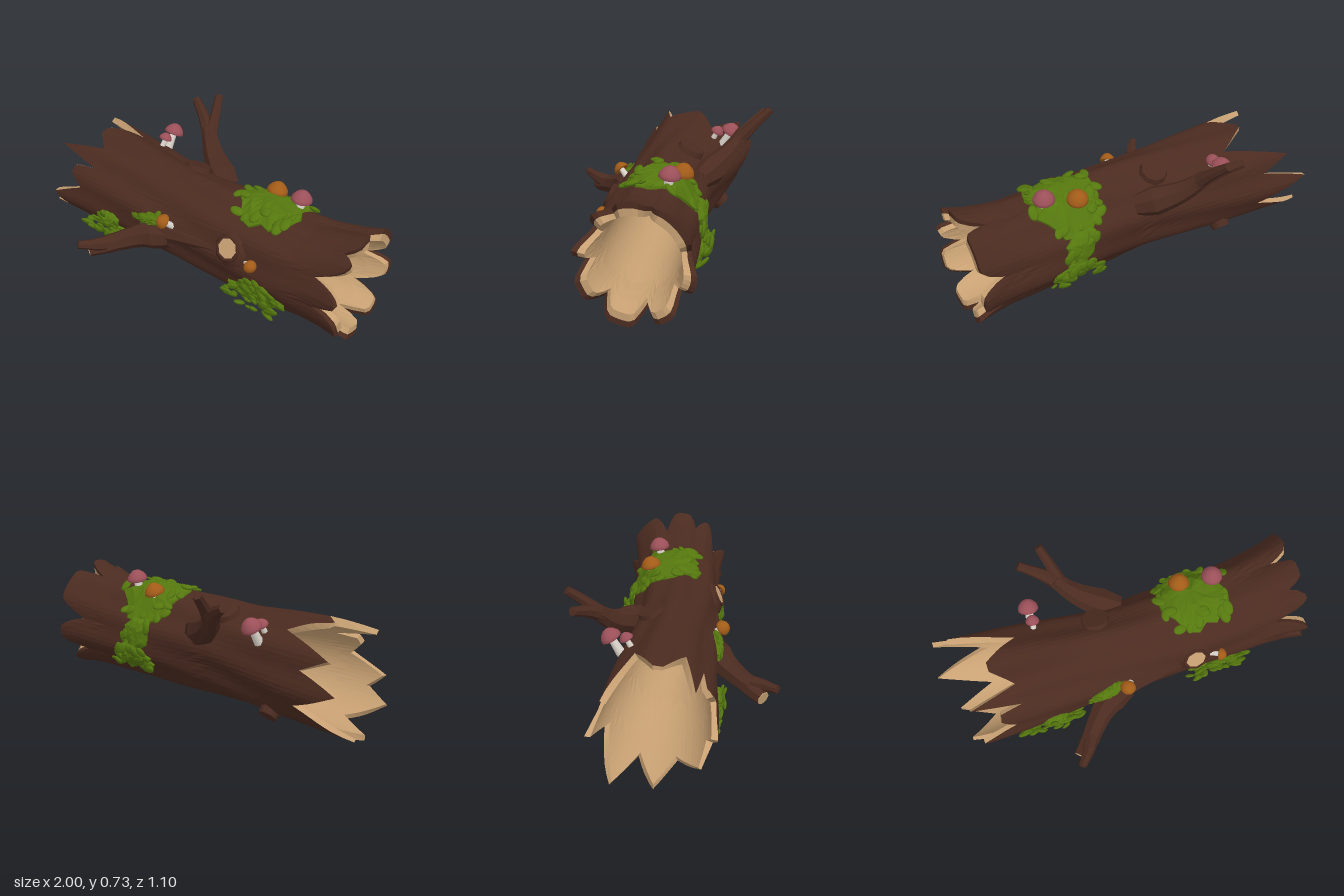
import * as THREE from 'three';

const mat = (name, color) => Object.assign(new THREE.MeshStandardMaterial({ color }), { name });
const V = (x, y, z) => new THREE.Vector3(x, y, z);
const RAD = Math.PI / 180;

// Linear lookup in a short table of [key, value]
function look(table, x) {
  if (x <= table[0][0]) return table[0][1];
  for (let i = 1; i < table.length; i++) {
    const [x0, a] = table[i - 1], [x1, b] = table[i];
    if (x <= x1) return a + ((b - a) * (x - x0)) / (x1 - x0);
  }
  return table[table.length - 1][1];
}

// Log profile along x; angle 0 is the front, 90 the top, 180 the back
const outerR = [[-1, 0.285], [-0.6, 0.27], [-0.2, 0.258], [0.5, 0.26], [0.75, 0.265], [0.9, 0.285], [1, 0.31]];
const innerR = [[-1, 0.265], [-0.6, 0.235], [-0.3, 0.207], [0.5, 0.197], [0.8, 0.207], [0.92, 0.222], [1, 0.243]];
const centreY = [[-1, 0.31], [0, 0.298], [0.7, 0.298], [1, 0.325]];
const centreZ = [[-1, -0.06], [0, -0.012], [0.6, -0.035], [1, -0.05]];
const widthZ = [[-1, 1.08], [-0.6, 1.04], [0, 0.89], [0.5, 0.94], [1, 0.95]];
// Splinter tips and valleys of the broken left end: [angle, x]
const splinters = [[-10, -0.85], [10, -0.66], [25, -0.73], [35, -0.72], [40, -0.6], [50, -0.86], [65, -0.6], [85, -0.71], [95, -0.71],
  [120, -0.53], [145, -0.87], [160, -0.71], [175, -0.96], [200, -0.68], [230, -1], [250, -0.72], [270, -0.93],
  [290, -0.74], [320, -0.91], [335, -0.77], [350, -0.85]];
// Splits of the flared right end: [angle, depth, half width]
const splits = [[30, 0.17, 20], [-5, 0.14, 13], [65, 0.07, 11], [105, 0.13, 13], [170, 0.15, 17], [215, 0.14, 17], [260, 0.15, 13], [310, 0.12, 14]];

const dAng = (a, b) => Math.abs(((a - b + 540) % 360 + 360) % 360 - 180);
const wrap = (deg) => { const d = ((deg % 360) + 360) % 360; return d > 350 ? d - 360 : d; };
const at = (x, deg, r) => {
  const t = deg * RAD;
  return V(x, look(centreY, x) + r * Math.sin(t), look(centreZ, x) + r * look(widthZ, x) * Math.cos(t));
};
function bark(x, deg, off = 0) {
  const t = deg * RAD, end = THREE.MathUtils.clamp((x - 0.6) / 0.4, 0, 1);
  let r = look(outerR, x) + (1 - end) * (0.007 * Math.sin(9 * t + 2.2 * Math.sin(2.3 * x)) + 0.005 * Math.sin(5 * t - 4 * x));
  for (const [a, , w] of splits) r -= 0.024 * end * Math.max(0, 1 - dAng(deg, a) / w);
  return at(x, deg, r + off);
}
const barkNormal = (x, deg) => bark(x, deg).sub(at(x, deg, 0)).setX(0).normalize();

// Flat-shaded surface through closed rows of points
function skin(rows) {
  const pos = [], n = rows[0].length;
  for (let k = 0; k + 1 < rows.length; k++) for (let i = 0; i < n; i++) {
    const j = (i + 1) % n, a = rows[k][i], b = rows[k + 1][i], c = rows[k + 1][j], d = rows[k][j];
    for (const p of [a, b, c, a, c, d]) pos.push(p.x, p.y, p.z);
  }
  const g = new THREE.BufferGeometry();
  g.setAttribute('position', new THREE.Float32BufferAttribute(pos, 3));
  g.computeVertexNormals();
  return g;
}

export function createModel() {
  let seed = 7;
  const rnd = () => (seed = (seed * 16807) % 2147483647) / 2147483647;
  const root = new THREE.Group();
  root.name = 'hollowLog';
  const brown = mat('bark brown', 0x4b2b20), tan = mat('bare wood', 0xc8a173), green = mat('moss green', 0x55780e);
  const pink = mat('pink cap', 0x9c5059), orange = mat('orange cap', 0xa35c18), white = mat('pale stem', 0xd9d2ca);
  const add = (name, geo, m, parent = root) => {
    const o = new THREE.Mesh(geo, m);
    o.name = name;
    parent.add(o);
    return o;
  };

  // Hollow trunk: bark outside, bare wood inside, rims at both ends
  const N = 72, K = 18, outer = [], inner = [];
  const angles = Array.from({ length: N }, (_, i) => (i * 360) / N);
  for (let k = 0; k <= K; k++) {
    const o = [], n = [];
    for (const a of angles) {
      const xl = look(splinters, wrap(a));
      let xr = 0.995;
      for (const [s, d, w] of splits) xr -= d * Math.max(0, 1 - dAng(a, s) / w) ** 1.6;
      const x = xl + ((xr - xl) * k) / K;
      o.push(bark(x, a));
      n.push(at(x, a, look(innerR, x)));
    }
    outer.push(o);
    inner.push(n);
  }
  const barkEdge = outer[K].map((p, i) => p.clone().lerp(inner[K][i], 0.45));
  add('bark', skin(outer), brown);
  add('innerWood', skin([...inner].reverse()), tan);
  add('splinteredRim', skin([inner[0], outer[0]]), tan);
  add('flaredBarkRim', skin([outer[K], barkEdge]), brown);
  add('flaredWoodRim', skin([barkEdge, inner[K]]), tan);

  // Tapering limbs with blunt ends
  function limb(name, pts, radii, cut) {
    const S = 12, R = 7, curve = new THREE.CatmullRomCurve3(pts.map((p) => V(...p)));
    const g = new THREE.TubeGeometry(curve, S, 1, R), p = g.attributes.position, v = V(0, 0, 0);
    const table = radii.map((r, i) => [i / (radii.length - 1), r]);
    for (let k = 0; k <= S; k++) for (let i = 0; i <= R; i++) {
      const c = curve.getPointAt(k / S), id = k * (R + 1) + i;
      v.fromBufferAttribute(p, id).sub(c).multiplyScalar(k === S ? 0 : look(table, (k + 1) / S));
      if (k === S - 1) c.copy(curve.getPointAt(0.995));
      v.add(c);
      p.setXYZ(id, v.x, v.y, v.z);
    }
    const flat = g.toNonIndexed();
    flat.computeVertexNormals();
    add(name, flat, brown);
    if (cut) {
      const d = add(name + 'Cut', new THREE.CylinderGeometry(cut, cut, 0.008, R), tan);
      d.position.copy(curve.getPointAt(1));
      d.quaternion.setFromUnitVectors(V(0, 1, 0), curve.getTangentAt(1));
    }
  }
  limb('backBranch', [[0.06, 0.42, -0.2], [-0.06, 0.455, -0.265], [-0.16, 0.51, -0.33], [-0.24, 0.6, -0.395]], [0.05, 0.08, 0.06, 0.042]);
  limb('backBranchLongTwig', [[-0.2, 0.56, -0.365], [-0.29, 0.625, -0.425], [-0.4, 0.68, -0.49]], [0.045, 0.035, 0.024]);
  limb('backBranchShortTwig', [[-0.21, 0.57, -0.375], [-0.235, 0.65, -0.45], [-0.27, 0.73, -0.535]], [0.042, 0.03, 0.023]);
  limb('frontBranchRoot', [[0.26, 0.35, 0.19], [0.1, 0.335, 0.195], [-0.06, 0.31, 0.21], [-0.2, 0.26, 0.27]], [0.015, 0.04, 0.055, 0.05]);
  limb('frontBranch', [[-0.04, 0.29, 0.2], [-0.16, 0.275, 0.25], [-0.27, 0.24, 0.35], [-0.32, 0.225, 0.41]], [0.06, 0.08, 0.06, 0.05]);
  limb('frontBranchLongTwig', [[-0.29, 0.235, 0.37], [-0.34, 0.25, 0.46], [-0.4, 0.265, 0.535]], [0.048, 0.036, 0.022]);
  limb('frontBranchStub', [[-0.27, 0.24, 0.35], [-0.33, 0.215, 0.41], [-0.385, 0.2, 0.465]], [0.05, 0.047, 0.042], 0.037);

  // Knots that grow straight out of the bark
  function knot(name, x, deg, r, open) {
    const g = new THREE.Group();
    g.name = name;
    g.position.copy(bark(x, deg));
    g.quaternion.setFromUnitVectors(V(0, 1, 0), barkNormal(x, deg));
    root.add(g);
    if (open) {
      add('knotCollar', new THREE.CylinderGeometry(r * 1.15, r * 1.9, 0.04, 8), brown, g).position.y = 0.005;
      add('knotRing', new THREE.TorusGeometry(r * 1.08, 0.01, 5, 8).rotateX(Math.PI / 2), brown, g).position.y = 0.025;
      add('knotWood', new THREE.CylinderGeometry(r * 1.05, r * 1.05, 0.008, 8), tan, g).position.y = 0.026;
    } else add('knotStump', new THREE.CylinderGeometry(r * 0.9, r * 1.1, 0.06, 9), brown, g);
  }
  knot('frontKnot', 0.35, 23, 0.058, true);
  knot('topKnot', -0.1, 117, 0.078, false);
  knot('lowerBackKnot', -0.48, 225, 0.055, false);

  // Moss: low cushions hugging the bark, topped with leafy tufts
  function moss(name, x0, a0, rx, ra, shear, leaves, size, lift) {
    const g = new THREE.Group(), M = 22, rows = [];
    g.name = name;
    root.add(g);
    const rim = Array.from({ length: M }, () => 0.78 + 0.26 * rnd());
    const place = (rho, t) => {
      const dx = rho * rx * Math.cos(t);
      return [x0 + dx, a0 + rho * ra * Math.sin(t) + shear * dx];
    };
    for (const [rho, h] of [[0, 0.032], [0.35, 0.032], [0.7, 0.026], [0.97, 0.012], [1, -0.012]]) {
      rows.push(rim.map((w, i) => {
        const bump = rho > 0 && rho < 0.9 ? 0.008 * (rnd() - 0.5) : 0;
        return bark(...place(rho * w, (i / M) * Math.PI * 2), h + bump);
      }));
    }
    add('mossCushion', skin(rows), green, g);
    for (let i = 0; i < leaves; i++) {
      const [x, a] = place(0.35 + 0.65 * Math.sqrt(rnd()), rnd() * Math.PI * 2);
      const leaf = add('mossLeaf', new THREE.IcosahedronGeometry(size * (0.7 + 0.6 * rnd()), 1), green, g);
      leaf.scale.set(1, 0.3, 0.65);
      leaf.position.copy(bark(x, a, 0.012 + lift * rnd()));
      leaf.quaternion.setFromUnitVectors(V(0, 1, 0), barkNormal(x, a));
      leaf.rotateY(rnd() * 6.28).rotateZ(0.6 * (rnd() - 0.3));
    }
  }
  moss('topMoss', 0.43, 106, 0.2, 56, 0, 28, 0.036, 0.01);
  moss('backMoss', 0.43, 170, 0.09, 25, 0, 10, 0.034, 0.012);
  moss('lowerBackMoss', 0.46, 203, 0.14, 18, 0, 24, 0.036, 0.045);
  moss('frontRightMoss', 0.51, -30, 0.18, 13, 0, 30, 0.036, 0.06);
  moss('frontRightUpperMoss', 0.53, -16, 0.1, 10, 0, 12, 0.032, 0.02);
  moss('frontLeftMoss', -0.46, -36, 0.18, 13, 0, 30, 0.036, 0.06);
  moss('frontLeftSprig', -0.45, -13, 0.07, 10, 0, 11, 0.026, 0.02);
  moss('frontMiddleMoss', -0.15, 14, 0.11, 9, 60, 14, 0.024, 0.015);

  // Mushrooms: from a foot on the log to a round cap
  const capProfile = [[0, 0.05], [0.85, -0.14], [1, -0.04], [0.93, 0.25], [0.7, 0.58], [0.38, 0.85], [0, 0.95]].map((p) => new THREE.Vector2(...p));
  function mushroom(name, foot, top, r, m) {
    const g = new THREE.Group(), a = V(...foot), dir = V(...top).sub(a), h = dir.length();
    g.name = name;
    g.position.copy(a);
    g.quaternion.setFromUnitVectors(V(0, 1, 0), dir.normalize());
    root.add(g);
    add('stem', new THREE.CylinderGeometry(r * 0.34, r * 0.48, h, 9), white, g).position.y = h / 2;
    const cap = add('cap', new THREE.LatheGeometry(capProfile, 14), m, g);
    cap.scale.setScalar(r);
    cap.position.y = h - r * 0.06;
  }
  mushroom('topPinkMushroom', [0.55, 0.53, -0.12], [0.555, 0.608, -0.132], 0.057, pink);
  mushroom('topOrangeMushroom', [0.38, 0.52, -0.155], [0.385, 0.567, -0.168], 0.057, orange);
  mushroom('backPinkMushroom', [-0.42, 0.46, -0.25], [-0.413, 0.55, -0.302], 0.055, pink);
  mushroom('backSmallPinkMushroom', [-0.42, 0.48, -0.19], [-0.413, 0.545, -0.225], 0.037, pink);
  mushroom('frontOrangeMushroom', [-0.015, 0.365, 0.2], [-0.045, 0.415, 0.25], 0.042, orange);
  mushroom('frontSmallOrangeMushroom', [0.45, 0.35, 0.19], [0.495, 0.366, 0.222], 0.035, orange);
  return root;
}
